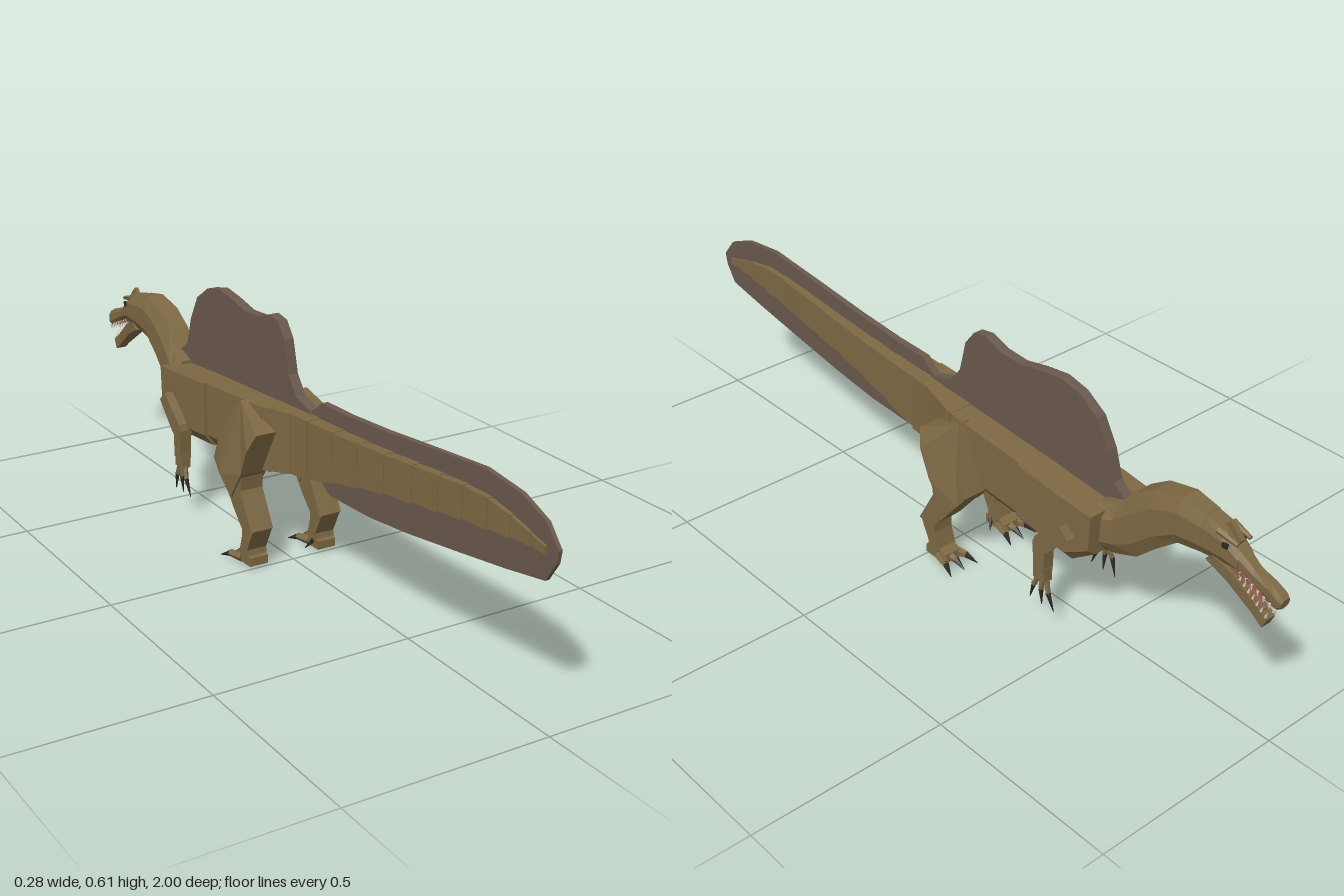
import * as THREE from 'three';

const mat = (name, color) => {
  const m = new THREE.MeshStandardMaterial({ color, flatShading: true });
  m.name = name;
  return m;
};

export function createModel() {
  const model = new THREE.Group();
  model.name = 'sailBackedDinosaur';
  const hide = mat('olive brown hide', 0x7d6843);
  const sailSkin = mat('grey brown sail', 0x6a594d);
  const horn = mat('dark claw', 0x2c2826);
  const ivory = mat('ivory teeth', 0xd6cbb2);
  const flesh = mat('mouth flesh', 0x8a5f50);

  const add = (name, geometry, material, parent = model) => {
    const mesh = new THREE.Mesh(geometry, material);
    mesh.name = name;
    parent.add(mesh);
    return mesh;
  };

  // Side profile of [z, y] points, given a thickness around x
  const slab = (pts, x, thick) => {
    const shape = new THREE.Shape(pts.map(p => new THREE.Vector2(p[0], p[1])));
    const g = new THREE.ExtrudeGeometry(shape, { depth: thick, bevelEnabled: false });
    return g.translate(0, 0, -thick / 2).rotateY(-Math.PI / 2).translate(x, 0, 0);
  };

  // Sections [topZ, topY, bottomZ, bottomY, halfWidth], ordered from tail to head.
  // The profile lists [x share, height share] counter-clockwise from behind.
  const loft = (sections, profile) => {
    const rings = sections.map(([zt, yt, zb, yb, w]) => profile.map(([u, t]) =>
      [u * w, yb + (yt - yb) * t, zb + (zt - zb) * t]));
    const pos = [], n = profile.length, last = rings.length - 1;
    const tri = (a, b, c) => pos.push(...a, ...b, ...c);
    for (let i = 0; i < last; i++) for (let j = 0; j < n; j++) {
      const k = (j + 1) % n, A = rings[i], B = rings[i + 1];
      tri(A[j], B[j], A[k]);
      tri(A[k], B[j], B[k]);
    }
    for (let j = 1; j < n - 1; j++) {
      tri(rings[0][0], rings[0][j], rings[0][j + 1]);
      tri(rings[last][0], rings[last][j + 1], rings[last][j]);
    }
    const g = new THREE.BufferGeometry();
    g.setAttribute('position', new THREE.Float32BufferAttribute(pos, 3));
    g.computeVertexNormals();
    return g;
  };
  const boxy = [[1, 0], [1, 1], [-1, 1], [-1, 0]];
  const torsoForm = [[0.72, 0], [1, 0.18], [1, 1], [-1, 1], [-1, 0.18], [-0.72, 0]];
  const round = [[1, 0.25], [1, 0.72], [0.6, 1], [-0.6, 1], [-1, 0.72], [-1, 0.25], [-0.6, 0], [0.6, 0]];

  // Tapered rod between two points
  const rod = (a, b, r0, r1, sides = 5) => {
    const p = new THREE.Vector3(...a), q = new THREE.Vector3(...b), d = q.clone().sub(p);
    const g = new THREE.CylinderGeometry(r1, r0, d.length(), sides);
    g.applyQuaternion(new THREE.Quaternion().setFromUnitVectors(new THREE.Vector3(0, 1, 0), d.normalize()));
    return g.translate(...p.add(q).multiplyScalar(0.5).toArray());
  };

  // Torso in three blocks
  add('hips', loft([[0.07, 0.417, 0.07, 0.265, 0.052], [-0.04, 0.411, -0.04, 0.245, 0.078]], boxy), hide);
  add('belly', loft([[-0.02, 0.411, -0.02, 0.24, 0.076], [-0.29, 0.394, -0.29, 0.226, 0.082]], torsoForm), hide);
  add('chest', loft([[-0.285, 0.395, -0.285, 0.225, 0.09], [-0.45, 0.382, -0.45, 0.212, 0.093],
    [-0.525, 0.375, -0.52, 0.262, 0.09]], torsoForm), hide);

  // Tail in stepped, tapering blocks: z, top, bottom, half width
  const tail = [[0.06, 0.417, 0.265, 0.05], [0.14, 0.419, 0.275, 0.046], [0.24, 0.422, 0.302, 0.042],
    [0.34, 0.427, 0.325, 0.038], [0.44, 0.434, 0.344, 0.034], [0.54, 0.442, 0.358, 0.03],
    [0.63, 0.449, 0.37, 0.026], [0.71, 0.454, 0.38, 0.021], [0.79, 0.453, 0.388, 0.018],
    [0.86, 0.44, 0.396, 0.014], [0.92, 0.424, 0.4, 0.011], [0.965, 0.412, 0.4, 0.009]];
  for (let i = 0; i < tail.length - 1; i++) {
    const [z0, t0, b0, w0] = tail[i], [z1, t1, b1, w1] = tail[i + 1];
    add('tailSegment', loft([[z1, t1 + 0.002, z1, b1 - 0.004, w1 + 0.002], [z0, t0, z0, b0, w0]], boxy), hide);
  }

  // Tail fin, thinning to the tip
  const fin = slab([[0.09, 0.42], [0.12, 0.44], [0.14, 0.458], [0.25, 0.461], [0.4, 0.472], [0.6, 0.492],
    [0.76, 0.507], [0.88, 0.494], [0.96, 0.462], [1, 0.415], [0.995, 0.385], [0.965, 0.338], [0.84, 0.315],
    [0.68, 0.29], [0.5, 0.263], [0.35, 0.246], [0.18, 0.24], [0.12, 0.275]], 0, 0.018);
  const fp = fin.attributes.position;
  for (let i = 0; i < fp.count; i++) fp.setX(i, fp.getX(i) * (1.15 - 0.6 * fp.getZ(i)));
  add('tailFin', fin, sailSkin);

  // Back sail with two humps
  add('backSail', slab([[0.12, 0.4], [0.1, 0.425], [0.035, 0.443], [0, 0.488], [-0.02, 0.57], [-0.05, 0.608],
    [-0.09, 0.615], [-0.14, 0.597], [-0.205, 0.593], [-0.275, 0.608], [-0.34, 0.617], [-0.4, 0.604],
    [-0.457, 0.567], [-0.495, 0.5], [-0.516, 0.43], [-0.555, 0.4], [-0.555, 0.36]], 0, 0.026), sailSkin);

  // Curved neck and back of the head
  add('neck', loft([[-0.5, 0.385, -0.5, 0.26, 0.062], [-0.55, 0.402, -0.555, 0.267, 0.05],
    [-0.59, 0.447, -0.61, 0.288, 0.045], [-0.645, 0.485, -0.665, 0.34, 0.042], [-0.725, 0.504, -0.72, 0.385, 0.039],
    [-0.79, 0.493, -0.79, 0.396, 0.034]], round), hide);
  add('skull', loft([[-0.77, 0.496, -0.77, 0.393, 0.034], [-0.84, 0.482, -0.85, 0.4, 0.031],
    [-0.885, 0.44, -0.885, 0.4, 0.025]], round), hide);
  add('snout', loft([[-0.87, 0.454, -0.865, 0.405, 0.024], [-0.92, 0.42, -0.92, 0.387, 0.017],
    [-0.965, 0.408, -0.96, 0.367, 0.016], [-0.99, 0.395, -0.985, 0.356, 0.018], [-1, 0.386, -0.995, 0.362, 0.013]], round), hide);
  add('lowerJaw', loft([[-0.82, 0.41, -0.8, 0.39, 0.026], [-0.87, 0.388, -0.858, 0.362, 0.021],
    [-0.935, 0.34, -0.925, 0.315, 0.014], [-0.967, 0.32, -0.955, 0.293, 0.014]], boxy), hide);
  add('palate', loft([[-0.86, 0.408, -0.86, 0.4, 0.017], [-0.98, 0.362, -0.98, 0.355, 0.01]], boxy), flesh);
  add('tongue', loft([[-0.86, 0.401, -0.86, 0.39, 0.014], [-0.95, 0.334, -0.95, 0.325, 0.008]], boxy), flesh);
  add('headCrest', slab([[-0.825, 0.48], [-0.842, 0.498], [-0.875, 0.465], [-0.865, 0.445]], 0, 0.012), hide);

  for (const s of [1, -1]) {
    const side = s > 0 ? 'left' : 'right';

    // Eyes, brows and teeth
    add(side + 'Eye', new THREE.BoxGeometry(0.006, 0.012, 0.014).translate(s * 0.029, 0.453, -0.852), horn);
    add(side + 'Brow', rod([s * 0.024, 0.476, -0.825], [s * 0.02, 0.463, -0.878], 0.008, 0.005), hide);
    for (let i = 0; i < 7; i++) {
      const t = i / 6, z = -0.885 - 0.1 * t, y = 0.398 - 0.04 * t;
      add('upperTooth', rod([s * 0.013, y, z], [s * 0.013, y - 0.016, z], 0.004, 0.0005, 4), ivory);
      const zl = -0.885 - 0.075 * t, yl = 0.376 - 0.055 * t;
      add('lowerTooth', rod([s * 0.012, yl, zl], [s * 0.011, yl + 0.014, zl - 0.004], 0.0035, 0.0005, 4), ivory);
    }

    // Hind leg, with the thigh sloping in towards the hip
    const leg = new THREE.Group();
    leg.name = side + 'HindLeg';
    model.add(leg);
    const thigh = slab([[0.025, 0.36], [-0.09, 0.411], [-0.125, 0.325], [-0.157, 0.25], [-0.13, 0.215],
      [-0.075, 0.172], [-0.025, 0.245], [0.005, 0.315]], s * 0.098, 0.072);
    const tp = thigh.attributes.position;
    for (let i = 0; i < tp.count; i++) {
      const limit = 0.134 - Math.max(0, tp.getY(i) - 0.325) * 0.47;
      if (Math.abs(tp.getX(i)) > limit) tp.setX(i, s * limit);
    }
    thigh.computeVertexNormals();
    add('thigh', thigh, hide, leg);
    add('shin', slab([[-0.03, 0.235], [-0.135, 0.225], [-0.065, 0.14], [-0.03, 0.105], [0.017, 0.107],
      [-0.035, 0.2]], s * 0.098, 0.062), hide, leg);
    add('ankle', slab([[0.018, 0.11], [-0.035, 0.13], [-0.035, 0.085], [-0.048, 0.04], [-0.04, 0.015],
      [-0.005, 0.012], [-0.012, 0.05]], s * 0.098, 0.054), hide, leg);
    add('foot', slab([[0, 0.01], [0, 0.032], [-0.04, 0.045], [-0.068, 0.03], [-0.07, 0.008]], s * 0.098, 0.05), hide, leg);
    for (const k of [-1, 0, 1]) {
      const x = s * 0.098 + k * 0.02;
      add('toe', rod([x, 0.02, -0.045], [x + k * 0.013, 0.018, -0.085], 0.014, 0.009), hide, leg);
      add('toeClaw', rod([x + k * 0.011, 0.019, -0.08], [x + k * 0.023, 0.004, -0.115], 0.009, 0.001), horn, leg);
    }
    add('dewClaw', rod([s * 0.072, 0.03, -0.02], [s * 0.056, 0.006, -0.035], 0.007, 0.001), horn, leg);

    // Foreleg with three clawed fingers
    const arm = new THREE.Group();
    arm.name = side + 'Arm';
    model.add(arm);
    add('upperArm', slab([[-0.455, 0.325], [-0.482, 0.3], [-0.42, 0.235], [-0.39, 0.21], [-0.37, 0.235],
      [-0.378, 0.26]], s * 0.098, 0.036), hide, arm);
    add('forearm', slab([[-0.37, 0.245], [-0.41, 0.24], [-0.408, 0.165], [-0.375, 0.165]], s * 0.1, 0.03), hide, arm);
    add('hand', slab([[-0.372, 0.178], [-0.41, 0.178], [-0.41, 0.14], [-0.372, 0.14]], s * 0.1, 0.024), hide, arm);
    for (const k of [-1, 0, 1]) {
      const z = -0.391 - k * 0.011;
      add('finger', rod([s * 0.1, 0.15, z], [s * 0.104, 0.108, z - k * 0.014], 0.008, 0.006), hide, arm);
      add('fingerClaw', rod([s * 0.104, 0.112, z - k * 0.013], [s * 0.1, 0.065, z - k * 0.029], 0.0065, 0.001), horn, arm);
    }
  }
  return model;
}
